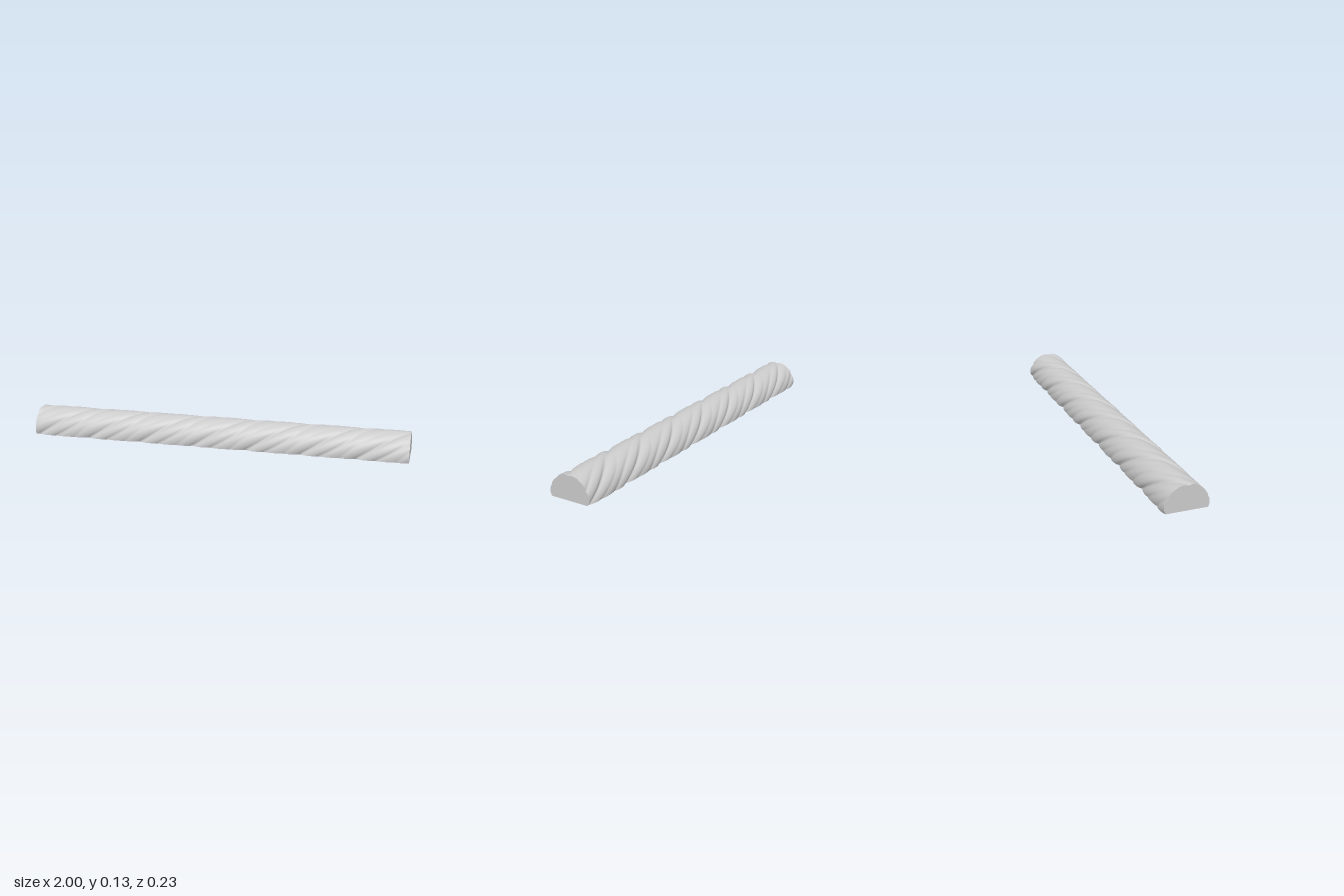
import * as THREE from 'three';

const NX = 420, NT = 64;           // grid along and around the rope
const PITCH = 2 / 7;               // spacing of the strands along x
const CY = 0.016, R = 0.116;       // centre height and outer radius
const A0 = -0.138, A1 = Math.PI + 0.138;

// Dip around phase c: gentle on one side, steep on the other
function dip(f, c, before, after) {
  let d = f - c;
  d -= Math.round(d);
  return Math.exp(-Math.abs(d) / (d < 0 ? before : after));
}

// Radius of the twisted strands: one deep groove and softer folds per pitch
function radius(x, a) {
  const u = (x + 0.67) / PITCH - (a / Math.PI) * 1.75;
  const side = Math.abs(Math.cos(a));
  const wave = 0.04 * Math.sin(3 * a);
  const groove = (0.009 + 0.010 * side) * dip(u, 0, 0.12, 0.06);
  const fold = (0.004 + 0.005 * side) * dip(u, 0.34 + wave, 0.05, 0.08);
  const crease = 0.005 * side * dip(u, 0.68 - wave, 0.07, 0.04);
  return R - groove - fold - crease;
}

function point(i, j) {
  const x = -1 + (2 * i) / NX;
  const a = A0 + ((A1 - A0) * j) / NT;
  const r = radius(x, a);
  const onFloor = j === 0 || j === NT;
  return [x, onFloor ? 0 : Math.max(0, CY + r * Math.sin(a)), r * Math.cos(a)];
}

function makeMesh(name, positions, index, material) {
  const g = new THREE.BufferGeometry();
  g.setAttribute('position', new THREE.Float32BufferAttribute(positions, 3));
  g.setIndex(index);
  g.computeVertexNormals();
  const mesh = new THREE.Mesh(g, material);
  mesh.name = name;
  return mesh;
}

// Grid of quads, rows along x, cols across
function gridIndex(rows, cols) {
  const index = [];
  for (let i = 0; i < rows; i++) {
    for (let j = 0; j < cols; j++) {
      const a = i * (cols + 1) + j, b = a + cols + 1;
      index.push(a, b, a + 1, b, b + 1, a + 1);
    }
  }
  return index;
}

export function createModel() {
  const group = new THREE.Group();
  group.name = 'ropeMoulding';
  const material = new THREE.MeshStandardMaterial({ color: 0xcccccc });

  // Twisted rounded surface and flat underside
  const rope = [], base = [];
  for (let i = 0; i <= NX; i++) {
    for (let j = 0; j <= NT; j++) rope.push(...point(i, j));
    base.push(...point(i, NT), ...point(i, 0));
  }
  group.add(makeMesh('twistedRope', rope, gridIndex(NX, NT), material));
  group.add(makeMesh('flatBase', base, gridIndex(NX, 1), material));

  // Flat cut ends
  for (const [name, i] of [['rightEnd', 0], ['leftEnd', NX]]) {
    const pos = [i ? 1 : -1, 0, 0], index = [];
    for (let j = 0; j <= NT; j++) pos.push(...point(i, j));
    for (let j = 1; j <= NT; j++) index.push(0, ...(i ? [j + 1, j] : [j, j + 1]));
    group.add(makeMesh(name, pos, index, material));
  }
  return group;
}
